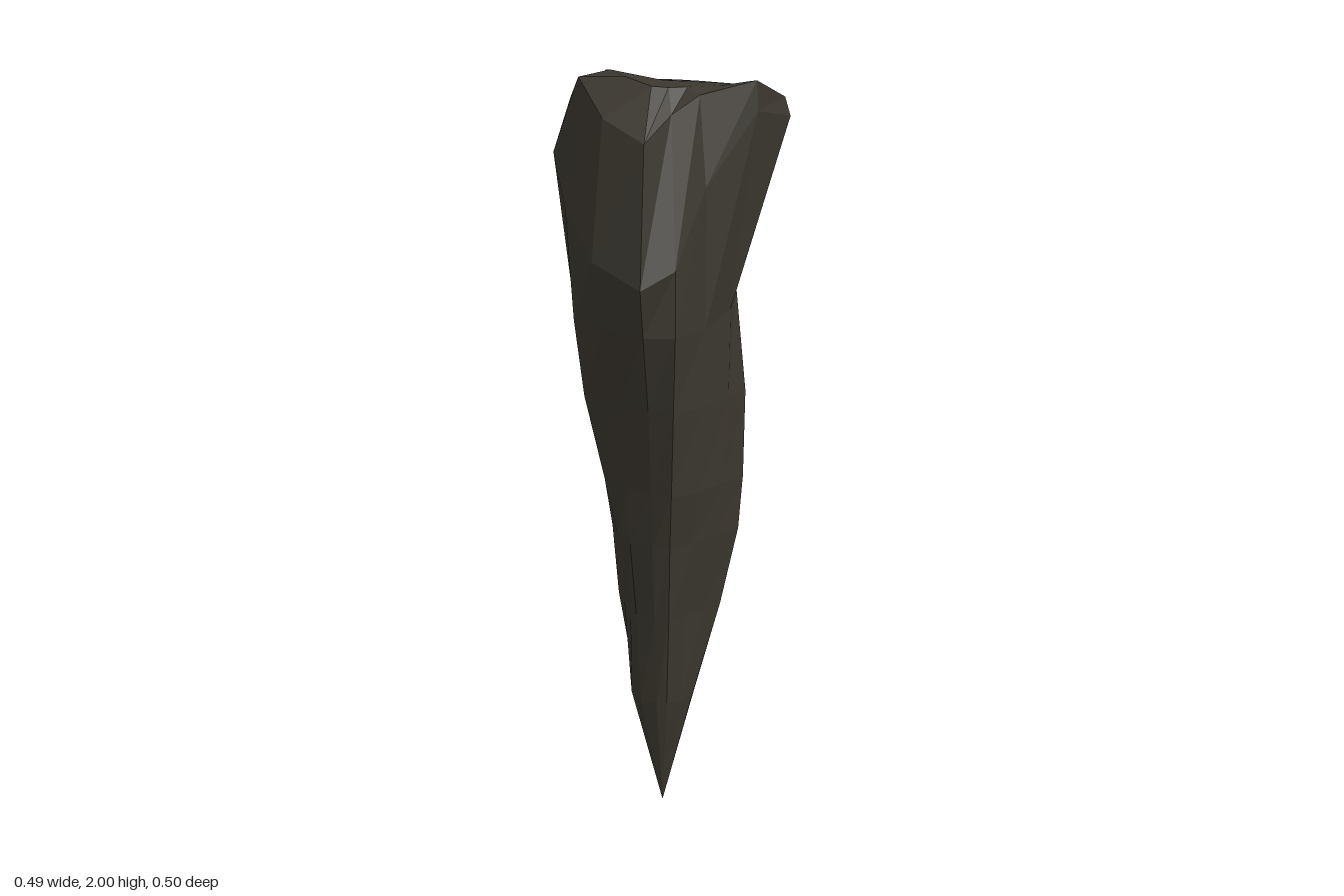
import * as THREE from 'three';

// Bearings of the rock's facet edges, in degrees from +x towards +z
const bearings = [15, 53, 73, 107, 135, 153, 185, 218, 239, 261, 284, 309, 323, 346];

// How far a bearing faces a given direction, from 0 to 1
const facing = (deg, towards) => Math.max(0, Math.cos(THREE.MathUtils.degToRad(deg - towards)));

// Heights of the widest outline and of the uneven rim, per bearing
const outlineY = [1.67, 1.89, 1.91, 1.74, 1.56, 1.52, 1.57, 1.68, 1.8, 1.83, 1.83, 1.78, 1.72, 1.71];
const rimY = [1.91, 1.935, 1.98, 1.95, 1.91, 1.85, 1.9, 1.985, 1.93, 1.94, 1.93, 1.89, 1.88, 1.91];

// Radii of the rim, per bearing
const rimR = [0.175, 0.293, 0.235, 0.15, 0.165, 0.225, 0.205, 0.205, 0.225, 0.195, 0.2, 0.2, 0.19, 0.165];

// Cross-sections from bottom to top: height and radius by bearing
const fixed = (value) => () => value;
const listed = (values) => (j) => values[j];
const sections = [
  { y: fixed(0.34), r: fixed(0.088) },
  { y: fixed(0.6), r: listed([0.15, 0.155, 0.115, 0.105, 0.13, 0.115, 0.103, 0.09, 0.105, 0.138, 0.148, 0.145, 0.145, 0.15]) },
  { y: fixed(0.82), r: listed([0.203, 0.2, 0.15, 0.135, 0.15, 0.138, 0.125, 0.125, 0.135, 0.15, 0.15, 0.155, 0.165, 0.19]) },
  { y: fixed(0.97), r: listed([0.18, 0.21, 0.17, 0.16, 0.178, 0.15, 0.132, 0.155, 0.155, 0.157, 0.157, 0.17, 0.172, 0.175]) },
  { y: fixed(1.2), r: listed([0.168, 0.212, 0.178, 0.175, 0.212, 0.187, 0.16, 0.205, 0.2, 0.182, 0.187, 0.208, 0.215, 0.17]) },
  // waist, raised under the overhang
  {
    y: (j) => 1.4 + 0.15 * facing(bearings[j], 10) ** 2,
    r: listed([0.17, 0.183, 0.18, 0.18, 0.245, 0.245, 0.215, 0.228, 0.225, 0.21, 0.215, 0.235, 0.24, 0.19]),
  },
  // widest outline, with the overhanging front corner and back bulge
  {
    y: listed(outlineY),
    r: listed([0.243, 0.307, 0.24, 0.177, 0.24, 0.275, 0.247, 0.244, 0.27, 0.253, 0.257, 0.27, 0.308, 0.252]),
  },
  { y: listed(rimY), r: listed(rimR) },
  // ridge on top, highest at the back right
  { y: (j) => 1.965 + 0.035 * facing(bearings[j], 218) ** 2, r: (j) => 0.03 + 0.48 * rimR[j] },
];

function buildRock() {
  const n = bearings.length;
  const positions = [];
  const index = [];

  // Rings of corners
  for (const { y, r } of sections) {
    bearings.forEach((deg, j) => {
      const a = THREE.MathUtils.degToRad(deg);
      positions.push(r(j) * Math.cos(a), y(j), r(j) * Math.sin(a));
    });
  }
  const tip = n * sections.length;
  const crown = tip + 1;
  positions.push(-0.02, 0, 0.015, 0, 1.973, 0);

  // Sides, pointed foot and crown
  const last = (sections.length - 1) * n;
  for (let j = 0; j < n; j++) {
    const k = (j + 1) % n;
    for (let row = 0; row < last; row += n) {
      const a = row + j, b = row + k, c = a + n, d = b + n;
      index.push(a, c, b, b, c, d);
    }
    index.push(tip, j, k);
    index.push(crown, last + k, last + j);
  }

  const geometry = new THREE.BufferGeometry();
  geometry.setAttribute('position', new THREE.Float32BufferAttribute(positions, 3));
  geometry.setIndex(index);
  const faceted = geometry.toNonIndexed();
  faceted.computeVertexNormals();
  return faceted;
}

export function createModel() {
  const model = new THREE.Group();
  model.name = 'rockSpike';
  const stone = new THREE.MeshStandardMaterial({ color: 0x3b372f, flatShading: true });
  const rock = new THREE.Mesh(buildRock(), stone);
  rock.name = 'rock';
  model.add(rock);
  return model;
}
